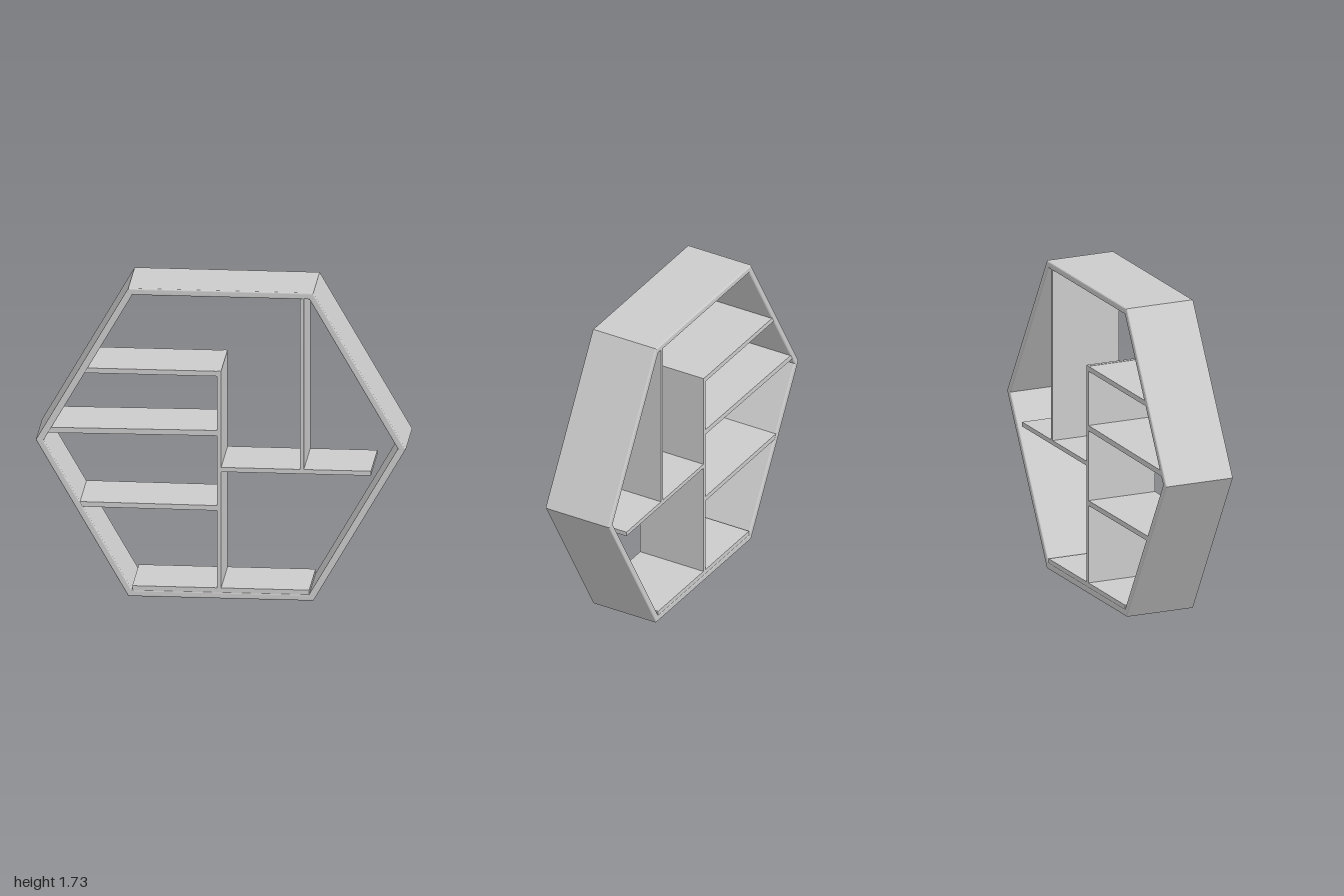
import * as THREE from 'three';

export function createModel() {
  const group = new THREE.Group();
  const material = new THREE.MeshStandardMaterial({ color: 0xcccccc });
  const depth = 0.4, midY = 0.866, bevel = 0.008;

  const add = (name, geometry) => {
    const mesh = new THREE.Mesh(geometry, material);
    mesh.name = name;
    group.add(mesh);
    return mesh;
  };

  // Hexagon corners around the centre, first corner on +x
  const hexagon = (radius) => Array.from({ length: 6 }, (_, i) => {
    const a = (i * Math.PI) / 3;
    return new THREE.Vector2(radius * Math.cos(a), midY + radius * Math.sin(a));
  });

  // Outer frame: hexagonal ring with softened front and back edges
  const ring = new THREE.Shape(hexagon(1));
  ring.holes.push(new THREE.Path(hexagon(0.957).reverse()));
  const frame = new THREE.ExtrudeGeometry(ring, {
    depth: depth - 2 * bevel,
    bevelThickness: bevel,
    bevelSize: bevel,
    bevelOffset: -bevel,
    bevelSegments: 3,
  });
  frame.translate(0, 0, -depth / 2 + bevel);
  add('hexagonFrame', frame);

  // Boards: name, left, right, bottom, top, tilt
  const boards = [
    ['bottomBoard', -0.478, 0.478, 0.02, 0.06, 0],
    ['centreDivider', -0.021, 0.002, 0.05, 1.28, 0],
    ['upperLeftShelf', -0.742, -0.01, 1.25, 1.278, 0],
    ['middleLeftShelf', -0.94, -0.01, 0.912, 0.942, 0.007],
    ['lowerLeftShelf', -0.765, -0.01, 0.496, 0.524, -0.004],
    ['rightShelf', -0.005, 0.812, 0.713, 0.738, 0],
    ['rightDivider', 0.428, 0.449, 0.73, 1.705, 0],
  ];
  for (const [name, left, right, bottom, top, tilt] of boards) {
    const board = add(name, new THREE.BoxGeometry(right - left, top - bottom, depth - 0.004));
    board.position.set((left + right) / 2, (bottom + top) / 2, 0);
    board.rotation.z = tilt;
  }

  return group;
}
